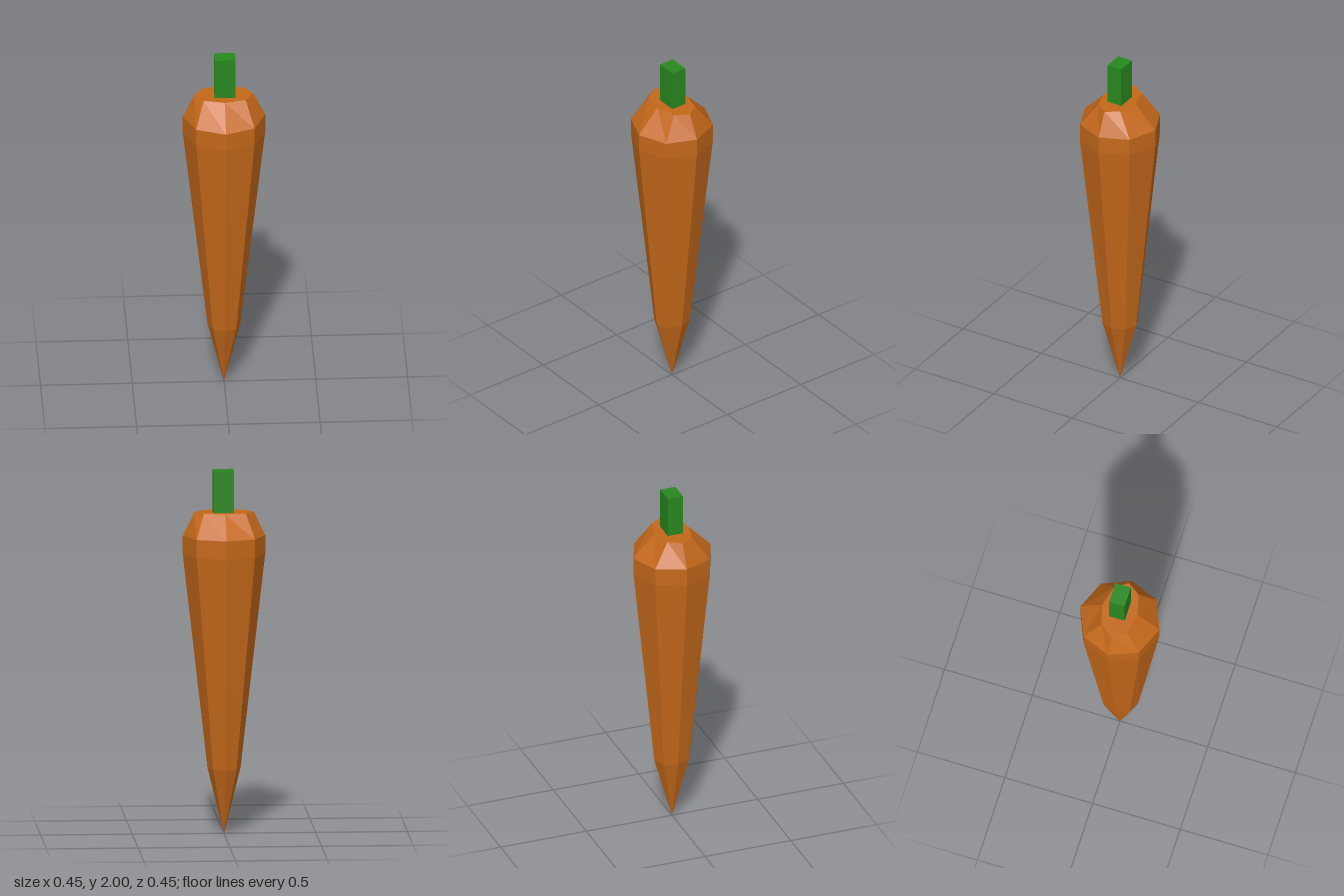
import * as THREE from 'three';

// Rings from tip to crown: [height, x radius, z radius]
const RINGS = [
  [0, 0, 0],
  [0.36, 0.09, 0.103],
  [1.54, 0.225, 0.225],
  [1.64, 0.225, 0.225],
  [1.77, 0.162, 0.1],
  [1.77, 0, 0],
];

// Eight-sided tapered root; each ring is stretched to its own oval
function rootGeometry() {
  const profile = RINGS.map(([y, rx]) => new THREE.Vector2(rx, y));
  const geometry = new THREE.LatheGeometry(profile, 8);
  const pos = geometry.attributes.position;
  for (let i = 0; i < pos.count; i++) {
    const [, rx, rz] = RINGS[i % RINGS.length];
    if (rx > 0) pos.setZ(i, pos.getZ(i) * rz / rx);
  }
  geometry.computeVertexNormals();
  return geometry;
}

function addPart(group, name, geometry, color) {
  const material = new THREE.MeshStandardMaterial({ color, flatShading: true });
  const mesh = new THREE.Mesh(geometry, material);
  mesh.name = name;
  group.add(mesh);
  return mesh;
}

export function createModel() {
  const group = new THREE.Group();
  group.name = 'carrot';

  addPart(group, 'root', rootGeometry(), 0xc4681a);

  // Square-cut stalk, slightly off centre, sunk just into the crown
  const stalk = addPart(group, 'stalk', new THREE.BoxGeometry(0.114, 0.24, 0.088), 0x28881f);
  stalk.position.set(0.004, 1.88, -0.001);

  return group;
}
